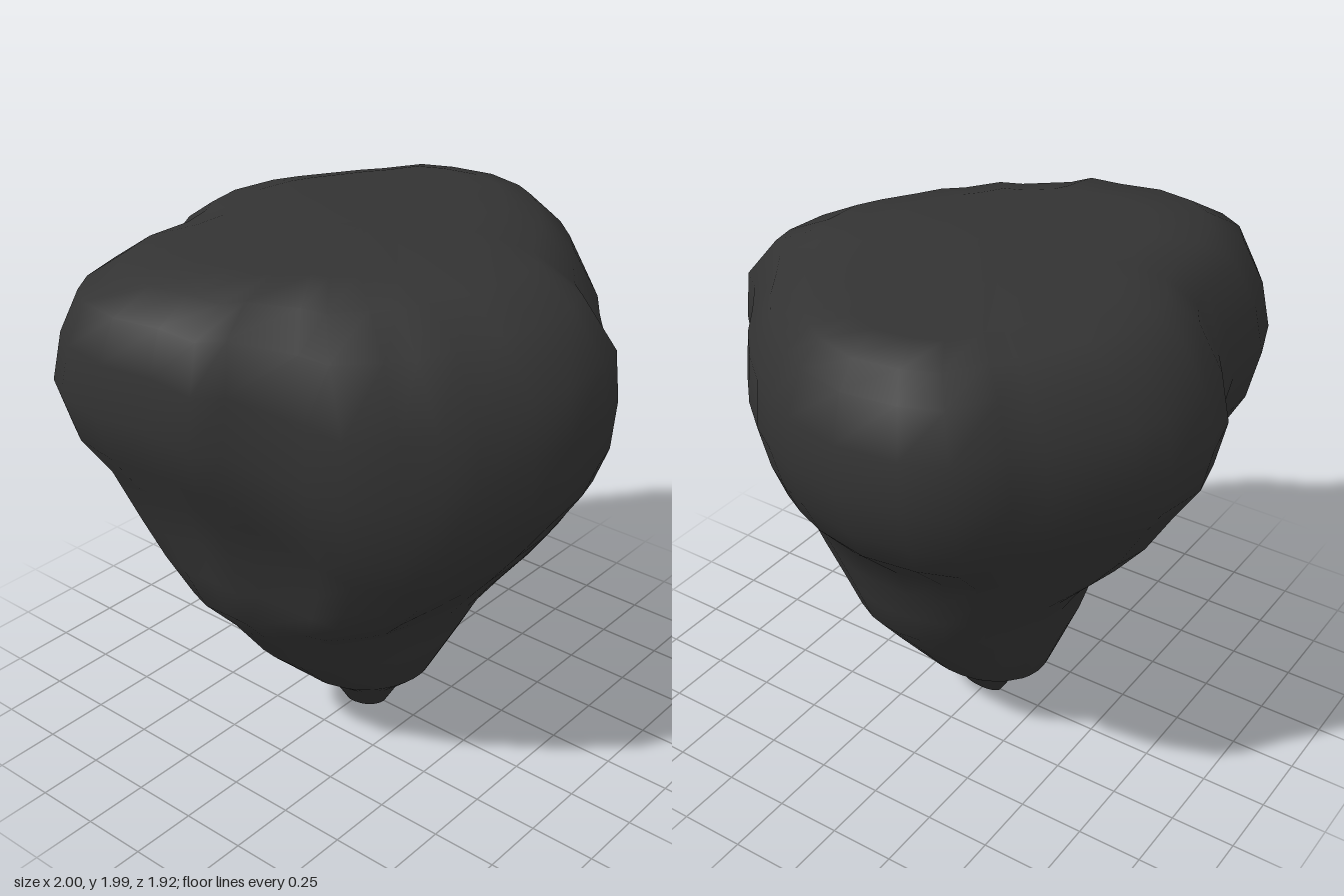
import * as THREE from 'three';

const { lerp, smoothstep } = THREE.MathUtils;

// widest outline of the rock, seen from above, as [x, z]
const OUTLINE = [
  [1, -0.1], [0.95, 0.13], [0.89, 0.26], [0.82, 0.37], [0.71, 0.5], [0.58, 0.62], [0.44, 0.72],
  [0.3, 0.83], [0.22, 0.93], [0.11, 0.955], [-0.09, 0.95], [-0.21, 0.89], [-0.37, 0.79],
  [-0.49, 0.72], [-0.57, 0.62], [-0.71, 0.49], [-0.74, 0.36], [-0.86, 0.12], [-0.95, 0.05],
  [-0.96, -0.13], [-1, -0.33], [-0.97, -0.53], [-0.9, -0.65], [-0.79, -0.73], [-0.59, -0.8],
  [-0.36, -0.8], [-0.2, -0.85], [-0.09, -0.92], [0.09, -0.96], [0.3, -0.92], [0.41, -0.86],
  [0.66, -0.68], [0.75, -0.6], [0.91, -0.49], [0.97, -0.33],
];

// reach of each cross-section: [y, -x, +x, -z, +z]
const LEVELS = [
  [0, 0.08, 0.03, 0.07, 0.1],
  [0.1, 0.14, 0.1, 0.13, 0.16],
  [0.2, 0.27, 0.21, 0.26, 0.27],
  [0.4, 0.47, 0.35, 0.33, 0.35],
  [0.57, 0.59, 0.48, 0.37, 0.43],
  [0.7, 0.7, 0.52, 0.45, 0.52],
  [0.85, 0.74, 0.57, 0.59, 0.63],
  [1.0, 0.78, 0.65, 0.71, 0.74],
  [1.2, 0.86, 0.86, 0.83, 0.89],
  [1.34, 0.95, 0.94, 0.92, 0.95],
  [1.52, 1, 1, 0.96, 0.96],
  [1.7, 0.97, 0.985, 0.92, 0.94],
  [1.86, 0.93, 0.93, 0.82, 0.8],
  [1.94, 0.8, 0.85, 0.7, 0.62],
  [1.975, 0.6, 0.72, 0.56, 0.4],
  [1.985, 0.3, 0.35, 0.28, 0.2],
];

// strength of a lobe pointing towards the given angle in degrees
const lobe = (angle, degrees, power) =>
  Math.max(0, Math.cos(angle - THREE.MathUtils.degToRad(degrees))) ** power;

function createRockGeometry() {
  const positions = [], index = [], n = OUTLINE.length;
  for (const [y, xn, xp, zn, zp] of LEVELS) {
    // round near the tip, following the irregular outline higher up
    const w = smoothstep(y, 0.1, 1.35);
    // two ridges run down the lower body
    const ridge = smoothstep(y, 0.1, 0.45) * (1 - smoothstep(y, 0.85, 1.3));
    // the shoulder sags at the front right corner
    const sag = 0.25 * Math.sin(Math.PI * THREE.MathUtils.clamp((y - 0.6) / 1.38, 0, 1));
    for (const [ox, oz] of OUTLINE) {
      const r = Math.hypot(ox, oz), angle = Math.atan2(oz, ox);
      const ux = lerp(ox / r, ox, w);
      const uz = lerp(oz / r, oz / 0.958, w);
      const k = 1 + ridge * (0.16 * lobe(angle, 45, 4) + 0.06 * lobe(angle, 225, 4));
      const drop = sag * lobe(angle, 135, 6);
      positions.push(ux * k * (ux > 0 ? xp : xn), y - drop, uz * k * (uz > 0 ? zp : zn));
    }
  }
  // walls between neighbouring cross-sections
  for (let l = 0; l < LEVELS.length - 1; l++) {
    for (let i = 0; i < n; i++) {
      const a = l * n + i, b = l * n + (i + 1) % n;
      index.push(a, a + n, b, b, a + n, b + n);
    }
  }
  // closed tip and crown
  const tip = positions.length / 3, crown = tip + 1, last = (LEVELS.length - 1) * n;
  positions.push(-0.02, 0, 0.01, 0, 1.988, 0);
  for (let i = 0; i < n; i++) {
    const j = (i + 1) % n;
    index.push(tip, i, j, crown, last + j, last + i);
  }
  const geometry = new THREE.BufferGeometry();
  geometry.setAttribute('position', new THREE.Float32BufferAttribute(positions, 3));
  geometry.setIndex(index);
  geometry.computeVertexNormals();
  return geometry;
}

export function createModel() {
  const stone = new THREE.MeshStandardMaterial({ color: 0x333333 });
  stone.name = 'dark stone';
  const rock = new THREE.Mesh(createRockGeometry(), stone);
  rock.name = 'rock';
  const model = new THREE.Group();
  model.name = 'taperedRock';
  model.add(rock);
  return model;
}
